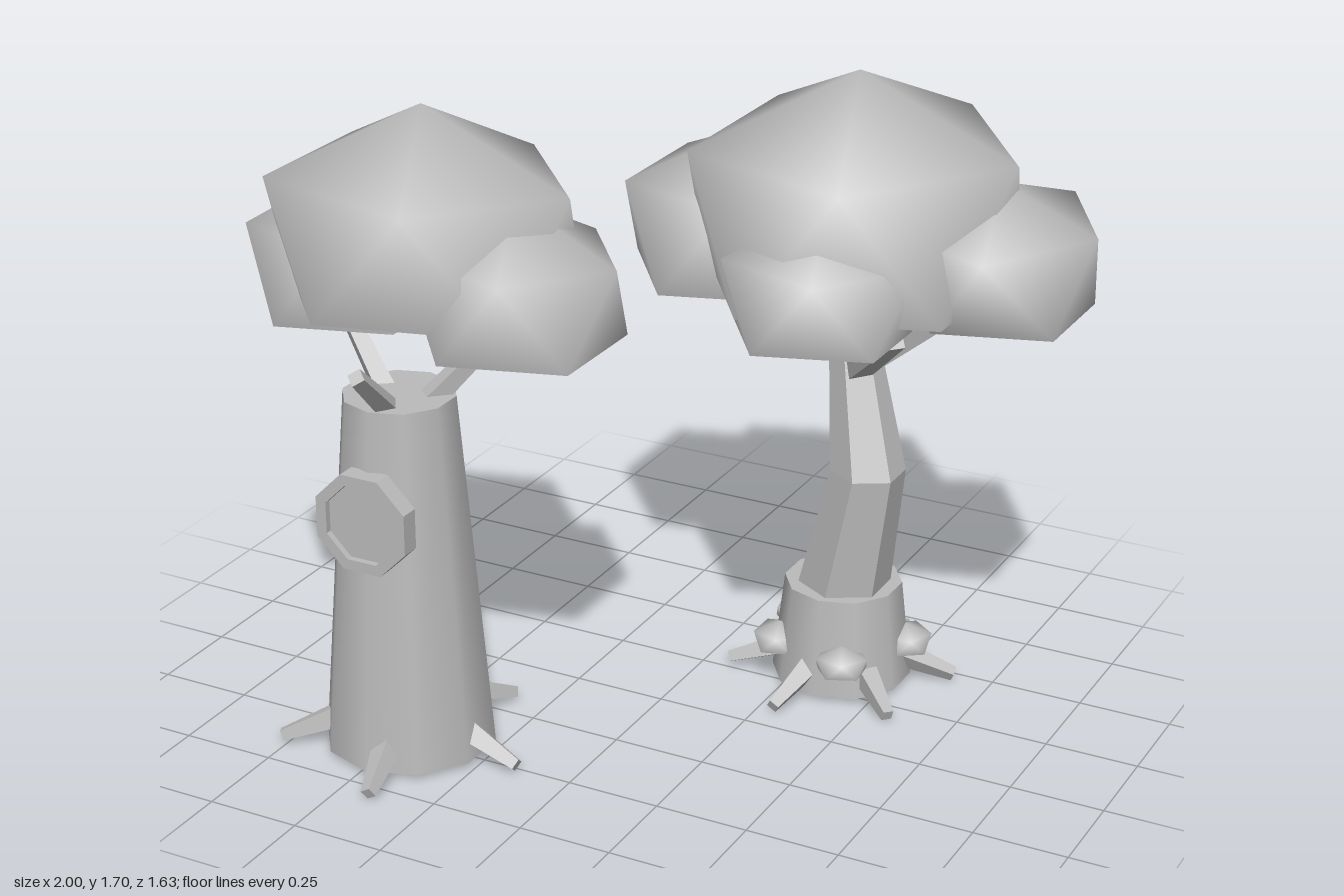
import * as THREE from 'three';

const grey = new THREE.MeshStandardMaterial({ color: 0xbbbbbb });
grey.name = 'light grey';

function add(parent, geometry, name) {
  const mesh = new THREE.Mesh(geometry, grey);
  mesh.name = name;
  parent.add(mesh);
  return mesh;
}

// Leaf clump: a stretched icosahedron whose underside is pushed inward;
// taper narrows the lower ring along z
function clump(parent, name, [cx, cz], [rx, rz], [low, high, apex], taper = 1, phase = 0) {
  const pts = [[cx, apex, cz]];
  for (let row = 0; row < 2; row++) {
    for (let i = 0; i < 5; i++) {
      const a = phase + (i + row * 0.5) * Math.PI * 0.4;
      const depth = rz * (row ? taper : 1);
      pts.push([cx + rx * Math.cos(a), row ? low : high, cz + depth * Math.sin(a)]);
    }
  }
  const shell = [], under = [];
  for (let i = 0; i < 5; i++) {
    const j = (i + 1) % 5, u = 1 + i, v = 1 + j, l = 6 + i, m = 6 + j;
    shell.push(0, v, u, u, v, l, m, l, v);
    under.push(0, l, m);
  }
  const build = (points, index) => {
    const g = new THREE.BufferGeometry();
    g.setAttribute('position', new THREE.Float32BufferAttribute(points.flat(), 3));
    g.setIndex(index);
    g.computeVertexNormals();
    return g;
  };
  add(parent, build(pts, shell), name);
  // Underside with its own normals, so the rim stays crisp
  const hollow = pts.map((p, i) => (i ? p : [cx, low + (high - low) * 0.65, cz]));
  const g = build(hollow, under).toNonIndexed();
  g.computeVertexNormals();
  add(parent, g, name + 'Underside');
}

// Tapered straight limb between two points
function limb(parent, name, from, to, r0, r1) {
  const a = new THREE.Vector3(...from), b = new THREE.Vector3(...to);
  const dir = b.clone().sub(a);
  const g = new THREE.CylinderGeometry(r1, r0, dir.length(), 4).toNonIndexed();
  g.computeVertexNormals();
  const mesh = add(parent, g, name);
  mesh.position.copy(a).add(b).multiplyScalar(0.5);
  mesh.quaternion.setFromUnitVectors(new THREE.Vector3(0, 1, 0), dir.normalize());
}

// Ring of small roots spreading from the foot of a trunk
function roots(parent, [cx, cz], count, startDeg, inner, outer) {
  for (let i = 0; i < count; i++) {
    const a = THREE.MathUtils.degToRad(startDeg + (i * 360) / count);
    const at = (r, y) => [cx + r * Math.cos(a), y, cz + r * Math.sin(a)];
    limb(parent, 'root', at(inner, 0.075), at(outer, 0.021), 0.038, 0.02);
  }
}

function trunk(parent, name, [cx, cz], bottomR, topR, y0, y1) {
  const mesh = add(parent, new THREE.CylinderGeometry(topR, bottomR, y1 - y0, 10, 1), name);
  mesh.position.set(cx, (y0 + y1) / 2, cz);
}

// Thick tree with a round knot on its front
function thickTree() {
  const tree = new THREE.Group();
  tree.name = 'thickTree';
  const c = [-0.48, 0.485];
  trunk(tree, 'thickTrunk', c, 0.225, 0.146, 0.015, 0.98);
  roots(tree, c, 5, 5, 0.19, 0.335);

  // Octagonal knot: raised rim with a recessed centre
  const octagon = (Type, r) => new Type(Array.from({ length: 8 }, (_, i) => {
    const a = (i + 0.5) * Math.PI / 4;
    return new THREE.Vector2(r * Math.cos(a), r * Math.sin(a));
  }));
  const rim = octagon(THREE.Shape, 0.139);
  rim.holes.push(octagon(THREE.Path, 0.108));
  add(tree, new THREE.ExtrudeGeometry(rim, { depth: 0.052, bevelEnabled: false }), 'knotRim')
    .position.set(c[0], 0.695, 0.633);
  add(tree, new THREE.ExtrudeGeometry(octagon(THREE.Shape, 0.11), { depth: 0.035, bevelEnabled: false }), 'knotCentre')
    .position.set(c[0], 0.695, 0.633);

  limb(tree, 'branch', [-0.54, 0.95, 0.45], [-0.73, 1.13, 0.35], 0.035, 0.024);
  limb(tree, 'branch', [-0.47, 0.94, 0.53], [-0.45, 1.11, 0.72], 0.035, 0.024);
  limb(tree, 'branch', [-0.42, 0.95, 0.46], [-0.24, 1.17, 0.33], 0.035, 0.024);

  clump(tree, 'mainCrown', [-0.48, 0.345], [0.415, 0.342], [1.2, 1.51, 1.69]);
  clump(tree, 'rightCrown', [-0.735, 0.295], [0.265, 0.25], [1.11, 1.335, 1.475]);
  clump(tree, 'leftCrown', [-0.2, 0.375], [0.278, 0.257], [1.135, 1.36, 1.5]);
  return tree;
}

// Slim bent tree rising from a wide stump
function bentTree() {
  const tree = new THREE.Group();
  tree.name = 'bentTree';
  const c = [0.36, -0.37];
  trunk(tree, 'stump', c, 0.188, 0.158, 0.015, 0.285);
  roots(tree, c, 6, 42, 0.15, 0.305);

  // Six-sided stem: centre and radius at each bend
  const rings = [[0.365, 0.27, -0.36, 0.125], [0.435, 0.63, -0.34, 0.1], [0.36, 0.94, -0.405, 0.068]];
  const g = new THREE.CylinderGeometry(1, 1, 2, 6, 2);
  const p = g.attributes.position;
  for (let i = 0; i < p.count; i++) {
    const [x, y, z, r] = rings[Math.round(p.getY(i)) + 1];
    p.setXYZ(i, x + p.getX(i) * r, y, z + p.getZ(i) * r);
  }
  const stem = g.toNonIndexed();
  stem.computeVertexNormals();
  add(tree, stem, 'stem');

  limb(tree, 'branch', [0.37, 0.89, -0.38], [0.58, 1.09, -0.15], 0.045, 0.032);
  limb(tree, 'branch', [0.35, 0.89, -0.41], [0.16, 1.11, -0.5], 0.045, 0.032);
  limb(tree, 'branch', [0.37, 0.89, -0.43], [0.67, 1.1, -0.6], 0.04, 0.026);

  clump(tree, 'mainCrown', [0.365, -0.38], [0.435, 0.45], [1.15, 1.51, 1.7]);
  clump(tree, 'rightCrown', [0.0, -0.455], [0.31, 0.305], [1.085, 1.34, 1.47]);
  clump(tree, 'frontCrown', [0.395, -0.12], [0.258, 0.265], [1.1, 1.3, 1.42]);
  clump(tree, 'leftCrown', [0.74, -0.425], [0.26, 0.335], [1.11, 1.34, 1.45], 0.75);

  // Small fungus caps around the stump
  for (const deg of [66, 145, 205, 275, 343]) {
    const a = THREE.MathUtils.degToRad(deg);
    const at = [c[0] + 0.172 * Math.cos(a), c[1] + 0.172 * Math.sin(a)];
    clump(tree, 'fungusCap', at, [0.07, 0.07], [0.095, 0.14, 0.165], 1, a);
  }
  return tree;
}

export function createModel() {
  const model = new THREE.Group();
  model.name = 'trees';
  model.add(thickTree(), bentTree());
  return model;
}
